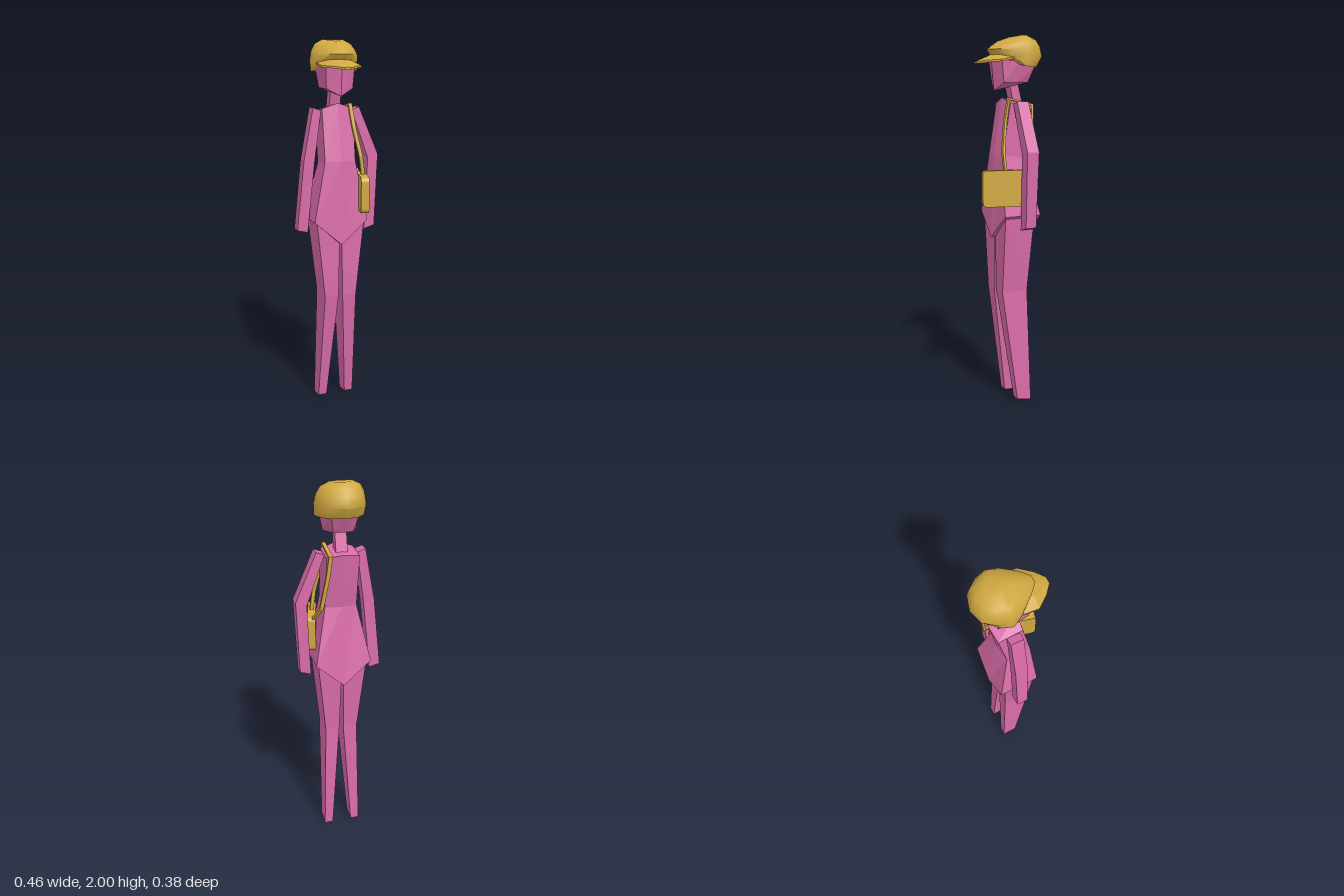
import * as THREE from 'three';
import { toCreasedNormals } from 'three/addons/utils/BufferGeometryUtils.js';

const CX = -0.01; // body centre line
const pink = new THREE.MeshStandardMaterial({ color: 0xd96ca8, flatShading: true });
const gold = new THREE.MeshStandardMaterial({ color: 0xd0a840, flatShading: true });
const goldSmooth = new THREE.MeshStandardMaterial({ color: 0xd0a840 });

// Closed skin over a list of rings of [x, y, z] points; faces always point outwards
function loft(rings) {
  const tris = [];
  const n = rings[0].length;
  for (let i = 0; i < rings.length - 1; i++) {
    for (let j = 0; j < n; j++) {
      const k = (j + 1) % n;
      const [a, b, c, d] = [rings[i][j], rings[i][k], rings[i + 1][k], rings[i + 1][j]];
      tris.push([a, b, c], [a, c, d]);
    }
  }
  const first = rings[0], last = rings[rings.length - 1];
  for (let j = 1; j < n - 1; j++) {
    tris.push([first[0], first[j + 1], first[j]], [last[0], last[j], last[j + 1]]);
  }
  let volume = 0;
  for (const [a, b, c] of tris) {
    volume += a[0] * (b[1] * c[2] - b[2] * c[1])
      + a[1] * (b[2] * c[0] - b[0] * c[2])
      + a[2] * (b[0] * c[1] - b[1] * c[0]);
  }
  if (volume < 0) tris.forEach((t) => t.reverse());
  const geo = new THREE.BufferGeometry();
  geo.setAttribute('position', new THREE.Float32BufferAttribute(tris.flat(2), 3));
  geo.computeVertexNormals();
  return geo;
}

// Four-sided limb: rows of [x0, y0, x1, y1, zFront, zBack]
const limb = (rows) => loft(rows.map(([x0, y0, x1, y1, zf, zb]) => [
  [x1, y1, zf], [x1, y1, zb], [x0, y0, zb], [x0, y0, zf],
]));

// Full ring from its +x half, running from front centre to back centre
function mirrorRing(half, cx = CX) {
  const other = half.slice(1, -1).reverse().map(([x, y, z]) => [-x, y, z]);
  return [...half, ...other].map(([x, y, z]) => [x + cx, y, z]);
}

export function createModel() {
  const model = new THREE.Group();
  const add = (name, geo, mat) => {
    const mesh = new THREE.Mesh(geo, mat);
    mesh.name = name;
    model.add(mesh);
    return mesh;
  };

  // Torso, from the wedge-shaped crotch to the shoulders
  add('torso', loft([
    [[0, 0.934, 0.095], [0.148, 1.06, 0.083], [0.148, 1.06, -0.128], [0, 0.934, -0.135]],
    [[0, 1.38, 0.074], [0.084, 1.38, 0.064], [0.084, 1.36, -0.062], [0, 1.36, -0.075]],
    [[0, 1.677, 0.028], [0.085, 1.65, 0.02], [0.085, 1.635, -0.105], [0, 1.645, -0.112]],
  ].map((r) => mirrorRing(r))), pink);

  // Neck and head
  add('neck', limb([
    [-0.04, 1.62, 0.02, 1.62, -0.033, -0.085],
    [-0.04, 1.78, 0.02, 1.78, 0.005, -0.045],
  ]), pink);
  add('head', loft([
    [[0, 1.713, 0.075], [0.072, 1.752, 0.052], [0.086, 1.755, -0.03], [0.05, 1.757, -0.1], [0, 1.757, -0.106]],
    [[0, 1.875, 0.09], [0.078, 1.87, 0.066], [0.108, 1.86, -0.025], [0.07, 1.85, -0.138], [0, 1.85, -0.153]],
  ].map((r) => mirrorRing(r))), pink);

  // Arms: one hanging, one bent outwards around the bag
  add('rightArm', limb([
    [-0.138, 1.655, -0.095, 1.64, 0.003, -0.063],
    [-0.19, 1.38, -0.132, 1.37, 0.003, -0.063],
    [-0.228, 1.005, -0.17, 0.99, -0.008, -0.068],
  ]), pink);
  add('leftArm', limb([
    [0.075, 1.64, 0.117, 1.655, 0.003, -0.063],
    [0.17, 1.38, 0.228, 1.4, 0.002, -0.066],
    [0.153, 0.987, 0.212, 1.005, 0, -0.06],
  ]), pink);

  // Legs, mirrored about the body centre
  for (const [name, side] of [['leftLeg', 1], ['rightLeg', -1]]) {
    const rows = [
      [0.006, 0.935, 0.132, 1.05, 0.072, -0.1],
      [0.012, 0.637, 0.089, 0.637, 0.07, -0.08],
      [0.055, 0, 0.103, 0, -0.016, -0.1],
    ];
    const geo = limb(rows.map(([x0, y0, x1, y1, zf, zb]) =>
      [CX + side * x0, y0, CX + side * x1, y1, zf, zb]));
    // toes sit slightly higher than heels
    const p = geo.attributes.position;
    for (let i = 0; i < p.count; i++) {
      if (p.getY(i) < 0.1 && p.getZ(i) > -0.05) p.setY(i, 0.014);
    }
    geo.computeVertexNormals();
    add(name, geo, pink);
  }

  // Cap crown: egg-shaped outline scaled per level
  const egg = [[0.018, 0.108], [0.062, 0.068], [0.112, 0.005], [0.1315, -0.055],
    [0.113, -0.118], [0.07, -0.175], [0, -0.195]];
  // [y at back, y at front, width scale, zFront, zBack]
  const levels = [
    [1.835, 1.885, 0.97, 0.085, -0.155],
    [1.89, 1.922, 1, 0.108, -0.19],
    [1.94, 1.942, 0.92, 0.085, -0.179],
    [1.976, 1.967, 0.76, 0.048, -0.156],
    [1.998, 1.988, 0.42, -0.012, -0.115],
  ];
  const crown = loft(levels.map(([yb, yf, s, zf, zb]) => {
    const half = egg.map(([x, z]) => {
      const t = THREE.MathUtils.clamp((z + 0.04) / 0.06, 0, 1);
      return [x * s, yb + (yf - yb) * t, zb + ((z + 0.195) / 0.303) * (zf - zb)];
    });
    return mirrorRing([[0, half[0][1], zf], ...half], -0.006);
  }));
  add('capCrown', toCreasedNormals(crown, 0.85), goldSmooth);

  // Cap brim: arched strips [z, half width, y at centre, y at edge]
  const across = [-1, -0.5, 0, 0.5, 1];
  add('capBrim', loft([
    [-0.01, 0.107, 1.915, 1.885],
    [0.083, 0.107, 1.9, 1.867],
    [0.142, 0.06, 1.875, 1.863],
    [0.178, 0.017, 1.859, 1.857],
  ].map(([z, w, yc, ye]) => {
    const top = across.map((t) => [-0.011 + w * t, ye + (yc - ye) * (1 - t * t), z]);
    return [...top, ...top.map(([x, y]) => [x, y - 0.01, z]).reverse()];
  })), gold);

  // Shoulder bag with rounded corners
  const [w, h, r, depth] = [0.123, 0.095, 0.025, 0.043];
  const outline = new THREE.Shape();
  outline.absarc(w - r, h - r, r, 0, Math.PI / 2);
  outline.absarc(r - w, h - r, r, Math.PI / 2, Math.PI);
  outline.absarc(r - w, r - h, r, Math.PI, Math.PI * 1.5);
  outline.absarc(w - r, r - h, r, Math.PI * 1.5, Math.PI * 2);
  const bagGeo = new THREE.ExtrudeGeometry(outline, { depth, bevelEnabled: false, curveSegments: 3 });
  bagGeo.translate(0, 0, -depth / 2);
  const bag = add('bag', bagGeo, gold);
  bag.rotation.y = 1.316;
  bag.position.set(0.113, 1.21, 0.07);

  // Strap: thin band from the bag front, over the shoulder, to the bag back
  const path = [
    [0.116, 1.29, 0.07], [0.1, 1.4, 0.076], [0.07, 1.55, 0.05], [0.057, 1.671, 0.024],
    [0.057, 1.64, -0.115], [0.07, 1.54, -0.108], [0.1, 1.37, -0.092], [0.132, 1.29, -0.035],
  ].map((p) => new THREE.Vector3(...p));
  add('strap', loft(path.map((p, i) => {
    const before = path[Math.max(i - 1, 0)], after = path[Math.min(i + 1, path.length - 1)];
    const dirA = p.clone().sub(before).normalize(), dirB = after.clone().sub(p).normalize();
    const out = dirA.add(dirB).cross(new THREE.Vector3(1, 0, 0)).normalize().multiplyScalar(0.007);
    return [[1, 1], [1, -1], [-1, -1], [-1, 1]].map(([a, b]) =>
      [p.x + 0.01 * a, p.y + out.y * b, p.z + out.z * b]);
  })), gold);

  return model;
}
